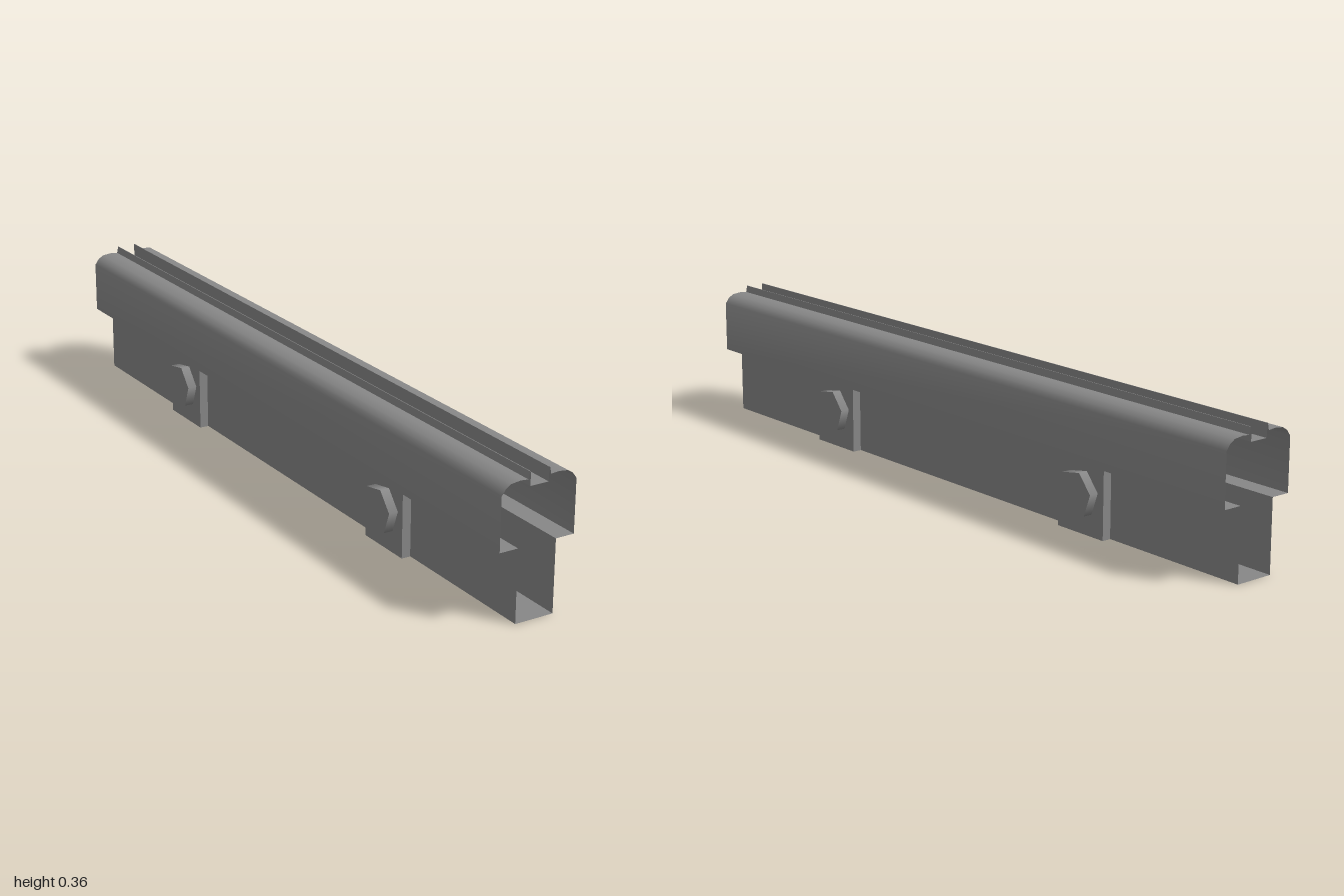
import * as THREE from 'three';
import { toCreasedNormals } from 'three/addons/utils/BufferGeometryUtils.js';

const LENGTH = 2;
const GREY = 0x878787;

// Sweeps a closed counterclockwise profile along z, leaving both ends open
function openExtrusion(profile, length) {
  const positions = [];
  const h = length / 2;
  profile.forEach(([x0, y0], i) => {
    const [x1, y1] = profile[(i + 1) % profile.length];
    positions.push(
      x0, y0, h, x0, y0, -h, x1, y1, -h,
      x0, y0, h, x1, y1, -h, x1, y1, h
    );
  });
  const geometry = new THREE.BufferGeometry();
  geometry.setAttribute('position', new THREE.Float32BufferAttribute(positions, 3));
  return toCreasedNormals(geometry, 0.7);
}

export function createModel() {
  const model = new THREE.Group();
  model.name = 'clampRail';
  const material = new THREE.MeshStandardMaterial({ color: GREY });
  const shellMaterial = new THREE.MeshStandardMaterial({ color: GREY, side: THREE.DoubleSide });

  // Hollow rail: narrow web, wide head with rounded shoulders, two thin lips around a top slot
  const half = [
    [0.052, 0], [0.052, 0.185], [0.102, 0.185], [0.102, 0.32], [0.091, 0.335], [0.077, 0.344],
    [0.052, 0.347], [0.031, 0.345], [0.027, 0.363], [0.025, 0.363], [0.025, 0.328]
  ];
  const profile = [...half, ...half.map(([x, y]) => [-x, y]).reverse()];
  const rail = new THREE.Mesh(openExtrusion(profile, LENGTH), shellMaterial);
  rail.name = 'rail';
  model.add(rail);

  // Clamp plates, each with a hexagonal bolt head
  const plateGeometry = new THREE.BoxGeometry(0.024, 0.185, 0.16);
  const boltGeometry = new THREE.CylinderGeometry(0.061, 0.061, 0.025, 6);
  boltGeometry.rotateZ(-Math.PI / 2);
  boltGeometry.rotateX(THREE.MathUtils.degToRad(10));

  for (const side of [1, -1]) {
    const clamps = new THREE.Group();
    clamps.name = side > 0 ? 'leftClamps' : 'rightClamps';
    for (const z of [0.5, -0.5]) {
      const plate = new THREE.Mesh(plateGeometry, material);
      plate.name = 'clampPlate';
      plate.position.set(0.0645, 0.0925, z);
      const bolt = new THREE.Mesh(boltGeometry, material);
      bolt.name = 'boltHead';
      bolt.position.set(0.0888, 0.103, z);
      clamps.add(plate, bolt);
    }
    // The opposite side is the same set turned half way round
    clamps.rotation.y = side > 0 ? 0 : Math.PI;
    model.add(clamps);
  }
  return model;
}
